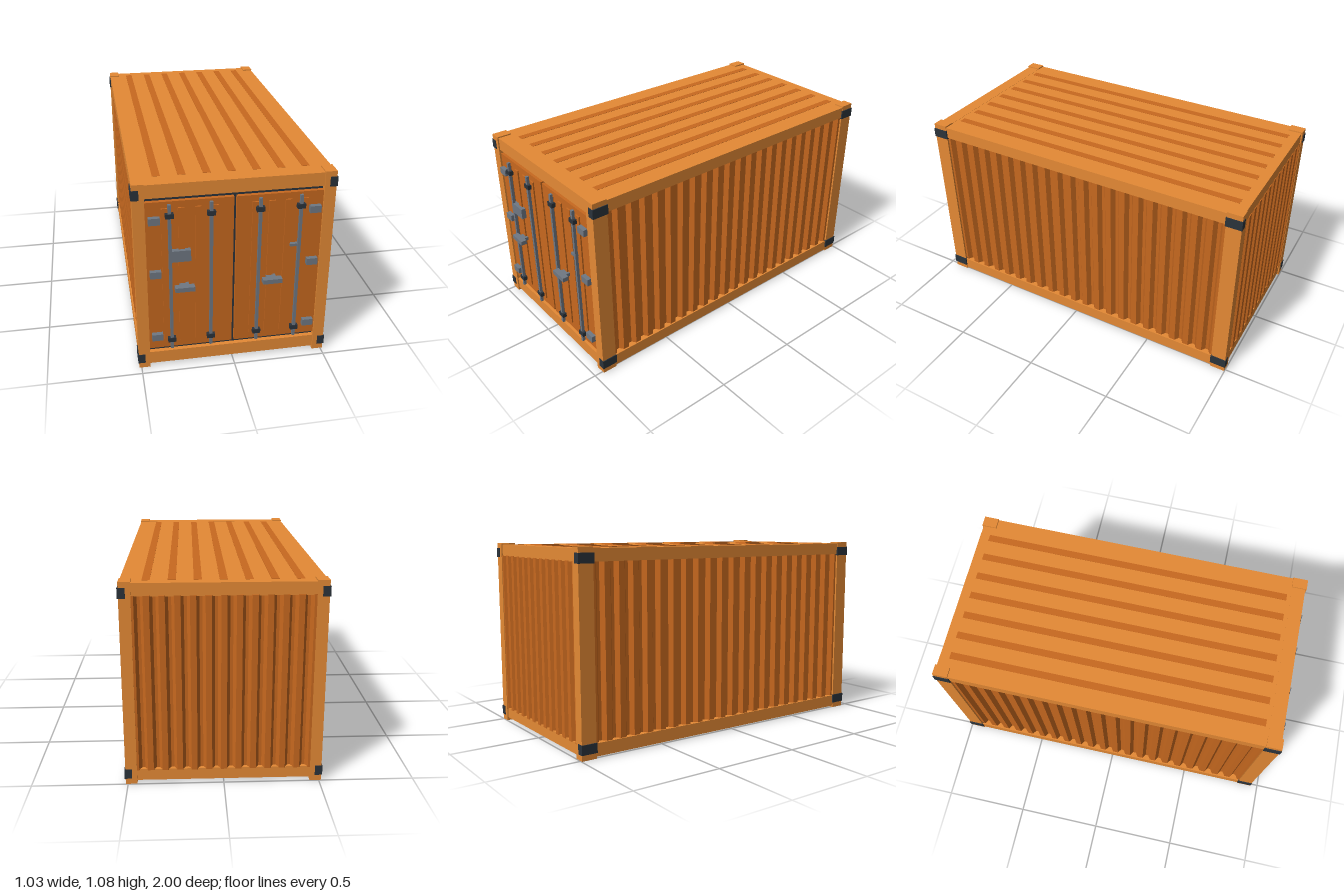
import * as THREE from 'three';

const mat = (name, color) => {
  const m = new THREE.MeshStandardMaterial({ color });
  m.name = name;
  return m;
};

export function createModel() {
  const frameOrange = mat('frame orange', 0xe58a35);
  const panelOrange = mat('panel orange', 0xc8691f);
  const steelGrey = mat('steel grey', 0x6f7883);
  const darkGrey = mat('dark grey', 0x2b333b);

  const model = new THREE.Group();
  model.name = 'shippingContainer';

  // Box given by its lower and upper limits on each axis
  const box = (name, material, [x0, x1], [y0, y1], [z0, z1]) => {
    const mesh = new THREE.Mesh(new THREE.BoxGeometry(x1 - x0, y1 - y0, z1 - z0), material);
    mesh.position.set((x0 + x1) / 2, (y0 + y1) / 2, (z0 + z1) / 2);
    mesh.name = name;
    model.add(mesh);
  };
  const span = (c, size) => [c - size / 2, c + size / 2];
  const side = (s, a, b) => (s > 0 ? [a, b] : [-b, -a]);

  // Upright wall with trapezoid grooves; its outer face points to -z before turning
  const corrugatedWall = (name, length, count, y0, y1) => {
    const p = length / count, depth = 0.025, shape = new THREE.Shape();
    shape.moveTo(-length / 2, -0.02);
    shape.lineTo(length / 2, -0.02);
    shape.lineTo(length / 2, depth);
    for (let i = count - 1; i >= 0; i--) {
      const x = -length / 2 + i * p;
      shape.lineTo(x + p * 0.8, depth);
      shape.lineTo(x + p * 0.6, 0);
      shape.lineTo(x + p * 0.4, 0);
      shape.lineTo(x + p * 0.2, depth);
    }
    shape.lineTo(-length / 2, depth);
    const geo = new THREE.ExtrudeGeometry(shape, { depth: y1 - y0, bevelEnabled: false });
    geo.rotateX(-Math.PI / 2);
    const mesh = new THREE.Mesh(geo, panelOrange);
    mesh.position.y = y0;
    mesh.name = name;
    model.add(mesh);
    return mesh;
  };

  for (const s of [1, -1]) {
    // Corner posts with dark corner fittings
    for (const [z0, z1] of [[0.865, 0.95], [-0.997, -0.912]]) {
      box('cornerPost', frameOrange, side(s, 0.452, 0.512), [0, 1.083], [z0, z1]);
      for (const y of [0.058, 1.027])
        box('cornerFitting', darkGrey, side(s, 0.478, 0.517), span(y, 0.053), [z0 - 0.003, z1 + 0.003]);
    }
    // Long rails and the dark floor beams
    box('topSideRail', frameOrange, side(s, 0.45, 0.51), [1.008, 1.075], [-0.912, 0.867]);
    box('bottomSideRail', frameOrange, side(s, 0.45, 0.51), [0.01, 0.08], [-0.92, 0.88]);
    box('floorBeam', darkGrey, side(s, 0.388, 0.45), [0, 0.065], [-0.91, 0.867]);
    // Side walls
    const wall = corrugatedWall('sideWall', 1.78, 21, 0.075, 1.012);
    wall.rotation.y = -s * Math.PI / 2;
    wall.position.set(s * 0.477, 0.075, -0.022);
  }

  // End rails and back wall
  box('frontHeader', frameOrange, [-0.455, 0.455], [1.003, 1.076], [0.867, 0.943]);
  box('frontSill', frameOrange, [-0.455, 0.455], [0.018, 0.09], [0.867, 0.943]);
  box('backHeader', frameOrange, [-0.455, 0.455], [1.008, 1.075], [-0.99, -0.912]);
  box('backSill', frameOrange, [-0.455, 0.455], [0.018, 0.08], [-0.99, -0.912]);
  corrugatedWall('backWall', 0.91, 12, 0.075, 1.012).position.z = -0.969;

  // Roof with long pressed strips, and floor
  box('roof', frameOrange, [-0.45, 0.45], [1.05, 1.075], [-0.912, 0.867]);
  for (let i = -3; i <= 3; i++)
    box('roofStrip', panelOrange, span(i * 0.127, 0.04), [1.068, 1.0765], [-0.935, 0.845]);
  box('floor', panelOrange, [-0.455, 0.455], [0.06, 0.08], [-0.92, 0.88]);

  // Dark seal frame, set back between the door leaves and the end rails
  box('doorSeal', darkGrey, [-0.455, 0.455], [0.085, 1.006], [0.88, 0.918]);

  for (const s of [1, -1]) {
    // Door leaf with raised ribs
    box('door', panelOrange, side(s, 0.007, 0.453), [0.114, 0.98], [0.9, 0.94]);
    for (let i = 0; i < 4; i++)
      box('doorRib', panelOrange, span(s * (0.102 + i * 0.085), 0.033), [0.155, 0.945], [0.935, 0.948]);

    // Hinges
    for (const y of [0.195, 0.58, 0.885])
      box('hinge', steelGrey, span(s * 0.409, 0.058), span(y, 0.038), [0.938, 0.965]);

    // Locking rods and brackets
    for (const x of [0.124, 0.333]) {
      box('lockingRod', steelGrey, span(s * x, 0.016), [0.121, 0.972], [0.95, 0.966]);
      for (const y of [0.175, 0.911])
        box('rodBracket', darkGrey, span(s * x, 0.042), span(y, 0.025), [0.946, 0.97]);
    }

    // Handles
    const hx = s > 0 ? 0.193 : -0.264;
    box('handle', steelGrey, span(hx, 0.102), span(0.502, 0.025), [0.966, 1.0]);
    box('handleMount', steelGrey, span(hx, 0.05), span(0.502, 0.02), [0.938, 0.97]);
  }

  // Lock box and small latch
  box('lockBox', steelGrey, [-0.341, -0.228], [0.65, 0.713], [0.938, 0.967]);
  box('latch', steelGrey, [0.286, 0.328], [0.68, 0.694], [0.938, 0.96]);

  return model;
}
